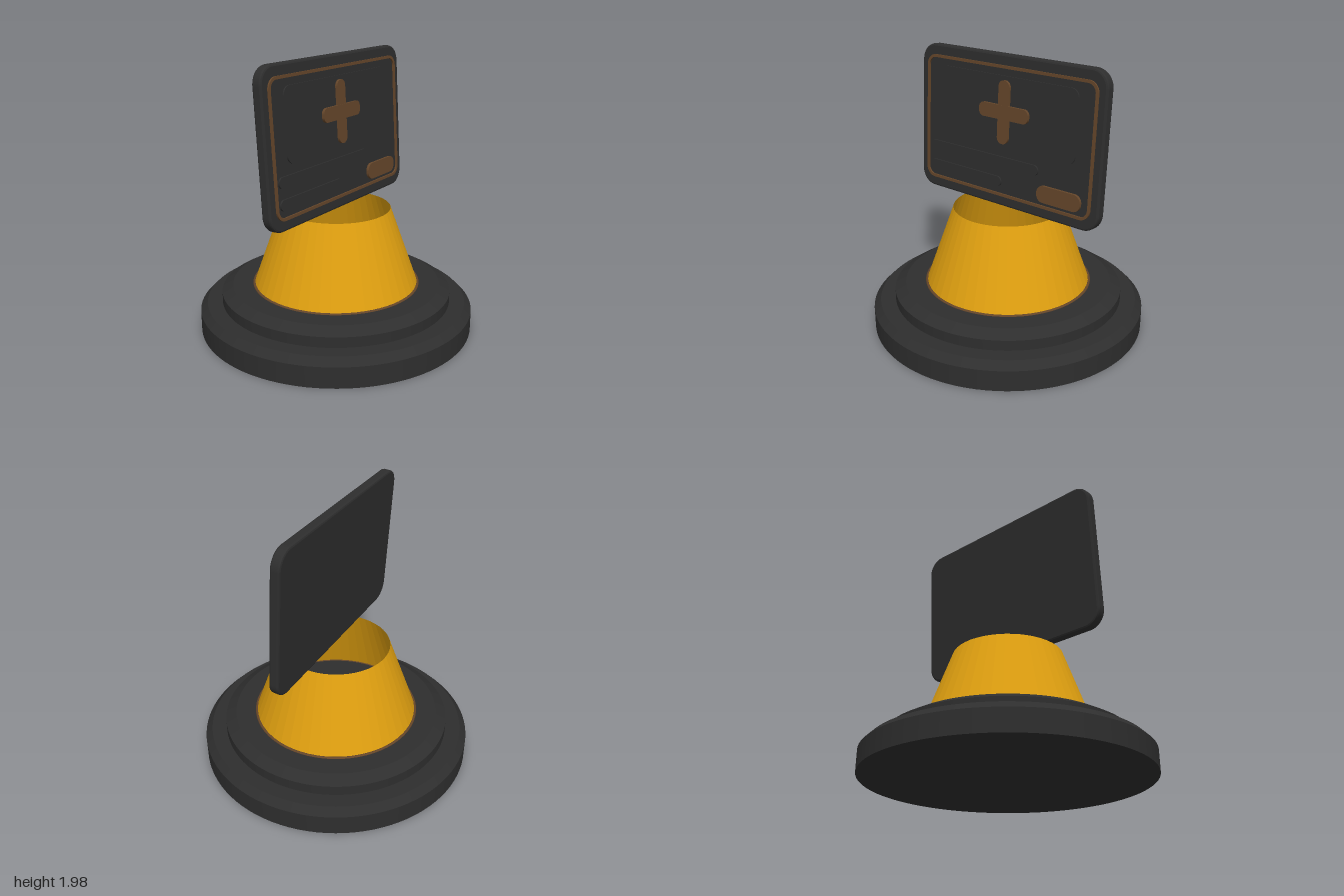
import * as THREE from 'three';

const paint = (name, color, extra = {}) => {
  const m = new THREE.MeshStandardMaterial({ color, ...extra });
  m.name = name;
  return m;
};

// Rounded rectangle outline centred on the origin
function roundedRect(w, h, r, Type = THREE.Shape) {
  const s = new Type(), x = w / 2, y = h / 2;
  s.moveTo(x, -y + r);
  s.absarc(x - r, y - r, r, 0, Math.PI / 2);
  s.absarc(-x + r, y - r, r, Math.PI / 2, Math.PI);
  s.absarc(-x + r, -y + r, r, Math.PI, Math.PI * 1.5);
  s.absarc(x - r, -y + r, r, Math.PI * 1.5, Math.PI * 2);
  s.closePath();
  return s;
}

export function createModel() {
  const model = new THREE.Group();
  model.name = 'cardDisplay';
  const charcoal = paint('charcoal', 0x2e2e2e);
  const bronze = paint('bronze', 0x65462a);
  const amber = paint('amber', 0xe0a010, { side: THREE.DoubleSide, flatShading: true });

  const add = (parent, name, geometry, material, x = 0, y = 0, z = 0) => {
    const mesh = new THREE.Mesh(geometry, material);
    mesh.name = name;
    mesh.position.set(x, y, z);
    parent.add(mesh);
    return mesh;
  };

  // Two-step round pedestal, each step with a chamfered rim
  const step = (name, radius, topRadius, y0, y1, y2) => {
    add(model, name, new THREE.CylinderGeometry(radius, radius, y1 - y0, 96), charcoal, 0, (y0 + y1) / 2);
    add(model, name + 'Chamfer', new THREE.CylinderGeometry(topRadius, radius, y2 - y1, 96), charcoal, 0, (y1 + y2) / 2);
  };
  step('lowerBase', 1, 0.95, 0, 0.15, 0.2);
  step('upperBase', 0.84, 0.76, 0.2, 0.275, 0.32);

  // Open light cone and the thin ring around its foot
  add(model, 'cone', new THREE.CylinderGeometry(0.395, 0.6, 0.57, 48, 1, true), amber, 0, 0.605);
  const ring = add(model, 'footRing', new THREE.TorusGeometry(0.603, 0.012, 8, 64), bronze, 0, 0.317);
  ring.rotation.x = Math.PI / 2;

  // Card, turned to the side and leaning back slightly
  const card = new THREE.Group();
  card.name = 'card';
  card.position.y = 1.44;
  card.rotation.set(-0.06, 0.235, 0, 'YXZ');
  model.add(card);

  const bevel = 0.014, thickness = 0.072, front = thickness / 2;
  const body = new THREE.ExtrudeGeometry(roundedRect(1.62 - 2 * bevel, 1.08 - 2 * bevel, 0.11), {
    depth: thickness - 2 * bevel, bevelSize: bevel, bevelThickness: bevel, bevelSegments: 2, curveSegments: 10,
  });
  add(card, 'cardBody', body, charcoal, 0, 0, -front + bevel);

  // Raised details on the card face
  const plate = (name, shape, height, material, x = 0, y = 0) =>
    add(card, name, new THREE.ExtrudeGeometry(shape, { depth: height + 0.005, bevelEnabled: false, curveSegments: 10 }),
      material, x, y, front - 0.005);

  const border = roundedRect(1.5, 0.93, 0.08);
  border.holes.push(roundedRect(1.46, 0.89, 0.06, THREE.Path));
  plate('borderLine', border, 0.012, bronze);
  plate('picturePanel', roundedRect(1.21, 0.505, 0.06), 0.01, charcoal, 0, 0.143);
  plate('upperTextBar', roundedRect(1.02, 0.075, 0.037), 0.012, charcoal, -0.2, -0.212);
  plate('lowerTextBar', roundedRect(0.695, 0.075, 0.037), 0.012, charcoal, -0.36, -0.362);
  plate('button', roundedRect(0.36, 0.12, 0.055), 0.02, bronze, 0.495, -0.36);
  plate('crossUpright', roundedRect(0.095, 0.445, 0.045), 0.028, bronze, 0, 0.145);
  plate('crossArm', roundedRect(0.435, 0.1, 0.04), 0.03, bronze, 0, 0.145);

  return model;
}
